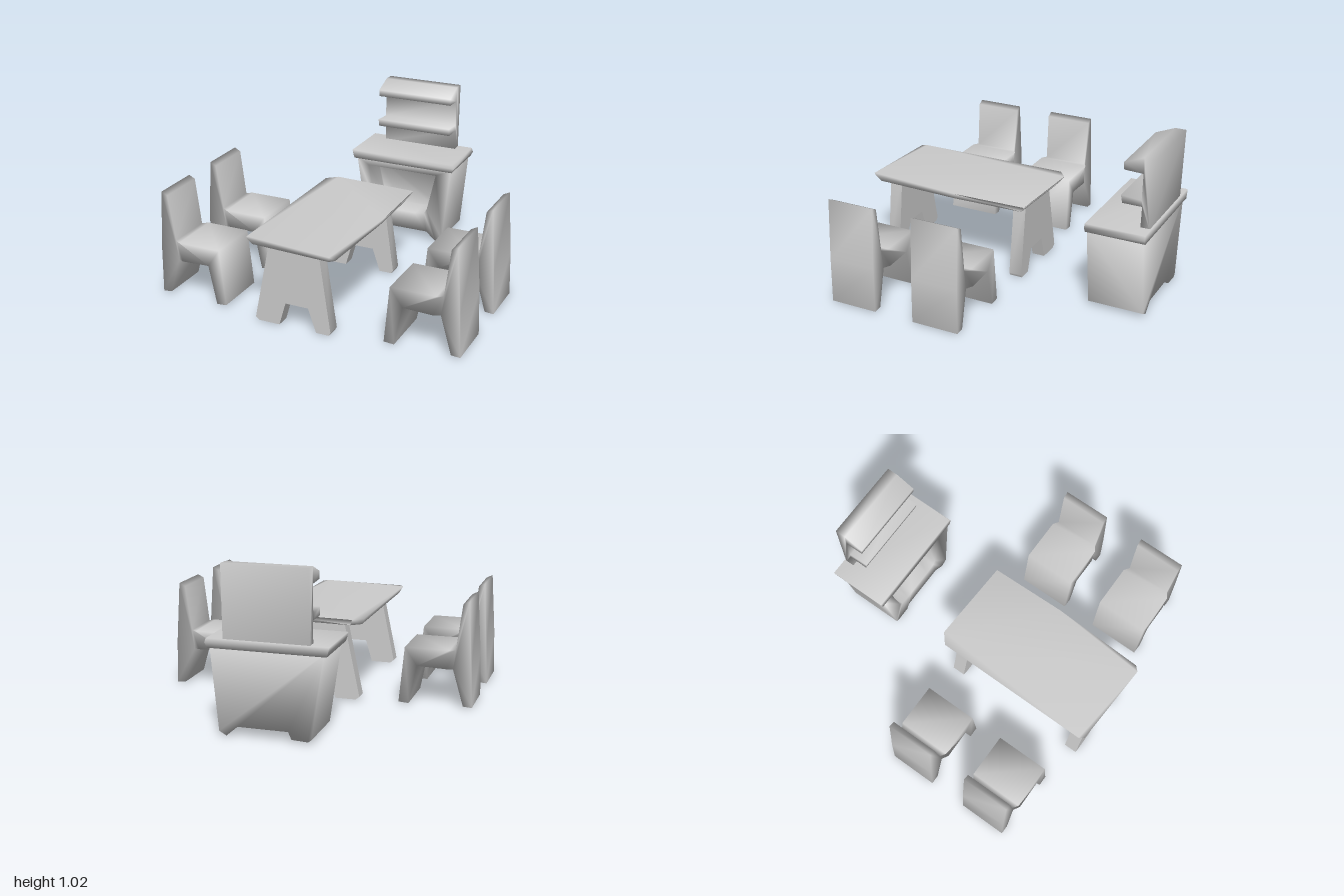
import * as THREE from 'three';
import { mergeVertices, toCreasedNormals } from 'three/addons/utils/BufferGeometryUtils.js';

const paleGrey = new THREE.MeshStandardMaterial({ color: 0xcccccc });
paleGrey.name = 'paleGrey';

const toPoints = (pts) => pts.map(([x, y]) => new THREE.Vector2(x, y));

// Extrude an outline from z0 to z1, then optionally move each vertex by a rule
function slab(pts, z0, z1, rule) {
  const g = new THREE.ExtrudeGeometry(new THREE.Shape(toPoints(pts)), { depth: z1 - z0, bevelEnabled: false });
  g.translate(0, 0, z0);
  if (rule) {
    const p = g.attributes.position;
    const v = new THREE.Vector3();
    for (let i = 0; i < p.count; i++) {
      rule(v.fromBufferAttribute(p, i));
      p.setXYZ(i, v.x, v.y, v.z);
    }
  }
  return g;
}

// Join outlines of equal point count, each at its own z, and cap both ends
function loft(rings) {
  const n = rings[0].pts.length;
  const index = [];
  for (let r = 0; r < rings.length - 1; r++) {
    for (let i = 0; i < n; i++) {
      const a = r * n + i;
      const b = r * n + ((i + 1) % n);
      index.push(a, b, b + n, a, b + n, a + n);
    }
  }
  const last = (rings.length - 1) * n;
  for (const [a, b, c] of THREE.ShapeUtils.triangulateShape(toPoints(rings[0].pts), [])) index.push(a, c, b);
  for (const [a, b, c] of THREE.ShapeUtils.triangulateShape(toPoints(rings.at(-1).pts), [])) {
    index.push(last + a, last + b, last + c);
  }
  const g = new THREE.BufferGeometry();
  const xyz = rings.flatMap(({ pts, z }) => pts.flatMap(([x, y]) => [x, y, z]));
  g.setAttribute('position', new THREE.Float32BufferAttribute(xyz, 3));
  g.setIndex(index);
  return g;
}

// Share normals over all edges for a soft, rounded look
function soften(geometry) {
  geometry.deleteAttribute('normal');
  geometry.deleteAttribute('uv');
  const g = mergeVertices(geometry);
  g.computeVertexNormals();
  return g;
}

function add(parent, name, geometry) {
  const mesh = new THREE.Mesh(geometry, paleGrey);
  mesh.name = name;
  parent.add(mesh);
  return mesh;
}

// Chair in one piece: tall back slab, seat and front leg slab; faces -x
function chairGeometry() {
  const side = [
    [0.997, 0.01], [0.99, 0.3], [0.965, 0.69], [0.925, 0.67], [0.885, 0.375], [0.85, 0.375], [0.565, 0.375],
    [0.53, 0.015], [0.595, 0.01], [0.645, 0.26], [0.83, 0.253], [0.87, 0.25], [0.94, 0.015],
  ];
  return soften(slab(side, -1, 1, (v) => {
    v.z *= v.x > 0.9 ? 0.155 : v.x > 0.86 ? 0.148 : 0.172;
  }));
}

function buildTable() {
  const table = new THREE.Group();
  table.name = 'table';

  // Top with clipped corners, tapering to a smaller underside
  const outline = [
    [-0.32, -0.92], [-0.30, -0.95], [0.25, -0.98], [0.28, -0.95],
    [0.305, -0.35], [0.295, 0.14], [-0.25, 0.165], [-0.315, 0.11],
  ];
  const top = slab(outline, 0, 1, (v) => {
    if (v.z < 0.5) {
      v.x *= 0.93;
      v.y = -0.41 + (v.y + 0.41) * 0.95;
    }
    v.z = v.z < 0.5 ? 0.51 : 0.552;
  });
  top.rotateX(-Math.PI / 2);
  add(table, 'tableTop', soften(top));

  // Splayed end panels with a notch between the feet
  const leg = [
    [-0.175, 0.53], [-0.28, 0.03], [-0.255, 0.01], [-0.12, 0.01], [-0.075, 0.16],
    [0.075, 0.16], [0.125, 0.01], [0.21, 0.01], [0.22, 0.03], [0.15, 0.53],
  ];
  add(table, 'frontTableLeg', toCreasedNormals(slab(leg, 0.83, 0.915), 0.75));
  add(table, 'backTableLeg', toCreasedNormals(slab(leg, -0.085, 0), 0.75));
  return table;
}

function buildCabinet() {
  const cabinet = new THREE.Group();
  cabinet.name = 'cabinet';

  // Tapered body on two feet, with a niche sunk into its front
  const body = [
    [-0.315, 0.54], [-0.24, 0.03], [-0.22, 0.015], [-0.12, 0.02], [-0.1, 0.065],
    [0.21, 0.065], [0.28, 0.005], [0.325, 0.03], [0.375, 0.54],
  ];
  const niche = [
    [-0.23, 0.49], [-0.18, 0.23], [-0.16, 0.2], [-0.1, 0.19], [-0.05, 0.19],
    [0.12, 0.19], [0.19, 0.2], [0.21, 0.23], [0.27, 0.49],
  ];
  add(cabinet, 'cabinetBody', soften(loft([
    { pts: body, z: -0.96 }, { pts: body, z: -0.6 }, { pts: niche, z: -0.6 }, { pts: niche, z: -0.76 },
  ])));

  // Overhanging counter
  const counter = [[-0.335, 0.53], [0.385, 0.53], [0.4, 0.56], [0.39, 0.587], [-0.35, 0.587], [-0.345, 0.56]];
  add(cabinet, 'counter', soften(slab(counter, -0.975, -0.592)));

  // Back board and its two shelves share one side profile, given as z and y
  const hutch = [
    [-0.965, 0.57], [-0.905, 0.57], [-0.91, 0.72], [-0.785, 0.72], [-0.775, 0.77], [-0.905, 0.76],
    [-0.91, 0.93], [-0.79, 0.935], [-0.785, 0.98], [-0.91, 1.03], [-0.98, 1.03],
  ];
  const board = slab(hutch, -0.29, 0.235);
  board.rotateY(-Math.PI / 2);
  add(cabinet, 'shelfBoard', soften(board));
  return cabinet;
}

export function createModel() {
  const model = new THREE.Group();
  model.name = 'diningSet';
  model.add(buildTable(), buildCabinet());

  // Two chairs on each long side, facing the table
  const geometry = chairGeometry();
  for (const [name, z, turn] of [
    ['leftFrontChair', 0.675, 0], ['leftBackChair', 0.1, 0],
    ['rightFrontChair', 0.675, Math.PI], ['rightBackChair', 0.115, Math.PI],
  ]) {
    const chair = add(model, name, geometry);
    chair.position.z = z;
    chair.rotation.y = turn;
  }
  return model;
}
